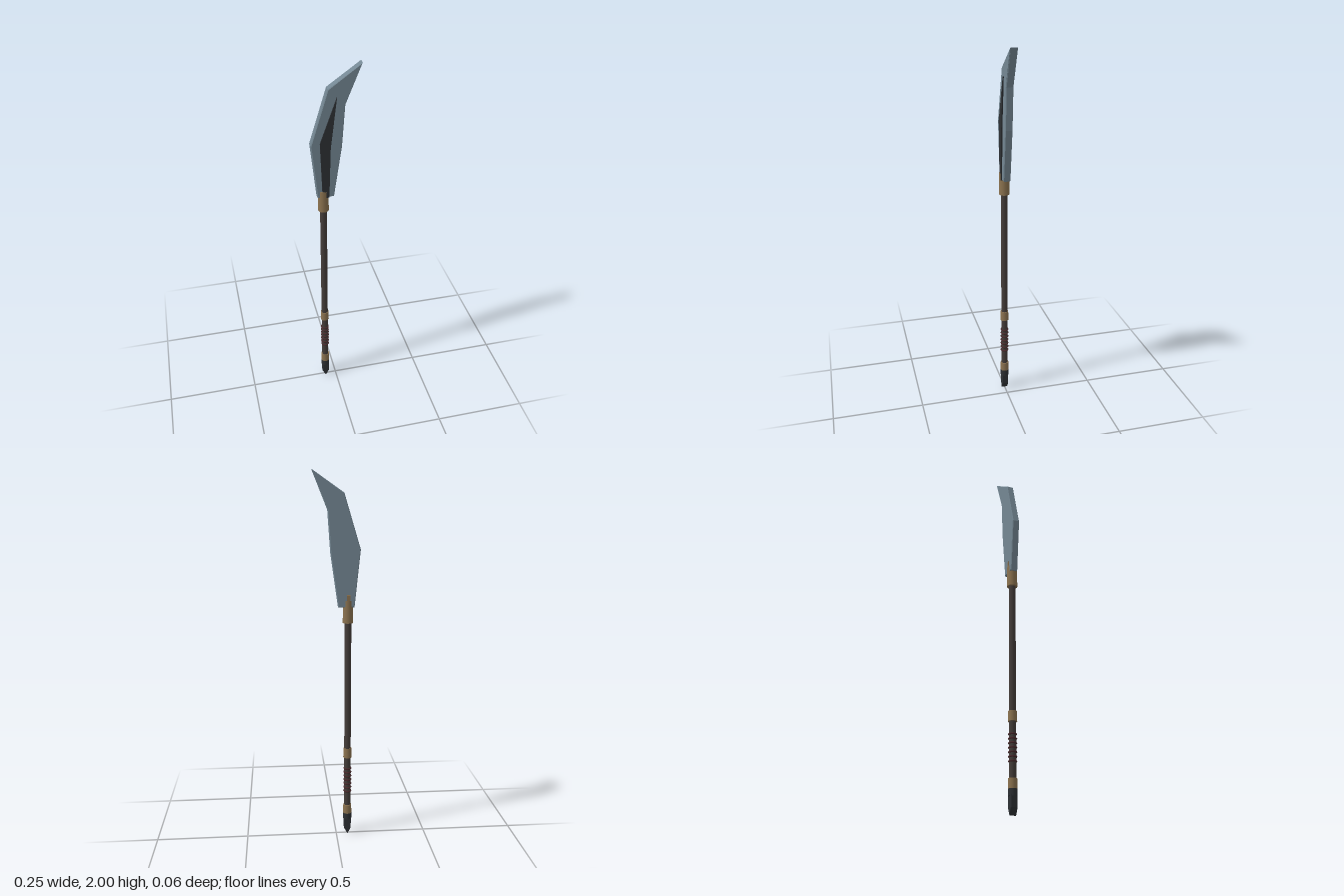
import * as THREE from 'three';

const AXIS = -0.0625; // x of the shaft

const mat = (color) => new THREE.MeshStandardMaterial({ color });
const steel = mat(0x748793), brass = mat(0x8c7350), wood = mat(0x443d3a);
const dark = mat(0x2d3034), cord = mat(0x4a292c);

export function createModel() {
  const group = new THREE.Group();

  const add = (name, geometry, material) => {
    const mesh = new THREE.Mesh(geometry, material);
    mesh.name = name;
    group.add(mesh);
    return mesh;
  };

  // Upright round part between two heights
  const rod = (name, y0, y1, rBottom, rTop, material) =>
    add(name, new THREE.CylinderGeometry(rTop, rBottom, y1 - y0, 16), material)
      .position.set(AXIS, (y0 + y1) / 2, 0);

  // Flat plate from an outline, spanning z0 to z1, with optional bevel
  const plate = (name, points, z0, z1, bevel, material) => {
    const shape = new THREE.Shape(points.map(([x, y]) => new THREE.Vector2(x, y)));
    const geometry = new THREE.ExtrudeGeometry(shape, {
      depth: z1 - z0 - 2 * bevel, bevelEnabled: bevel > 0, bevelSize: bevel,
      bevelThickness: bevel, bevelOffset: -bevel, bevelSegments: 1,
    });
    geometry.translate(0, 0, z0 + bevel);
    return add(name, geometry, material);
  };

  // Blade with its dark front inlay
  plate('blade', [
    [-0.095, 1.3], [-0.01, 1.3], [0.03, 1.58], [0.045, 1.8],
    [0.125, 2], [-0.04, 1.885], [-0.126, 1.6],
  ], -0.021, 0.018, 0.004, steel);
  plate('bladeInlay', [
    [-0.07, 1.3], [-0.036, 1.3], [-0.028, 1.58], [0.003, 1.845], [-0.081, 1.61],
  ], 0.01, 0.024, 0, dark);

  // Socket holding the blade, with a small tang on the back
  rod('socket', 1.215, 1.335, 0.028, 0.027, brass);
  const tang = add('socketTang', new THREE.BoxGeometry(0.018, 0.07, 0.012), brass);
  tang.position.set(AXIS, 1.33, -0.018);

  // Shaft and its collars
  rod('shaft', 0.08, 1.25, 0.018, 0.018, wood);
  rod('upperCollar', 0.458, 0.512, 0.0235, 0.0215, brass);
  rod('lowerCollar', 0.12, 0.175, 0.0235, 0.0225, brass);
  rod('buttCap', 0.09, 0.125, 0.0235, 0.0235, dark);

  // Cord wound around the grip
  for (let i = 0; i < 7; i++) {
    const ring = add('gripCord', new THREE.TorusGeometry(0.018, 0.005, 6, 16), cord);
    ring.rotation.x = Math.PI / 2;
    ring.position.set(AXIS, 0.258 + i * 0.0225, 0);
  }

  // Wedge-shaped butt spike
  plate('buttSpike', [
    [AXIS - 0.019, 0.1], [AXIS - 0.019, 0.036], [AXIS, 0],
    [AXIS + 0.019, 0.036], [AXIS + 0.019, 0.1],
  ], -0.018, 0.018, 0.003, dark);

  return group;
}
